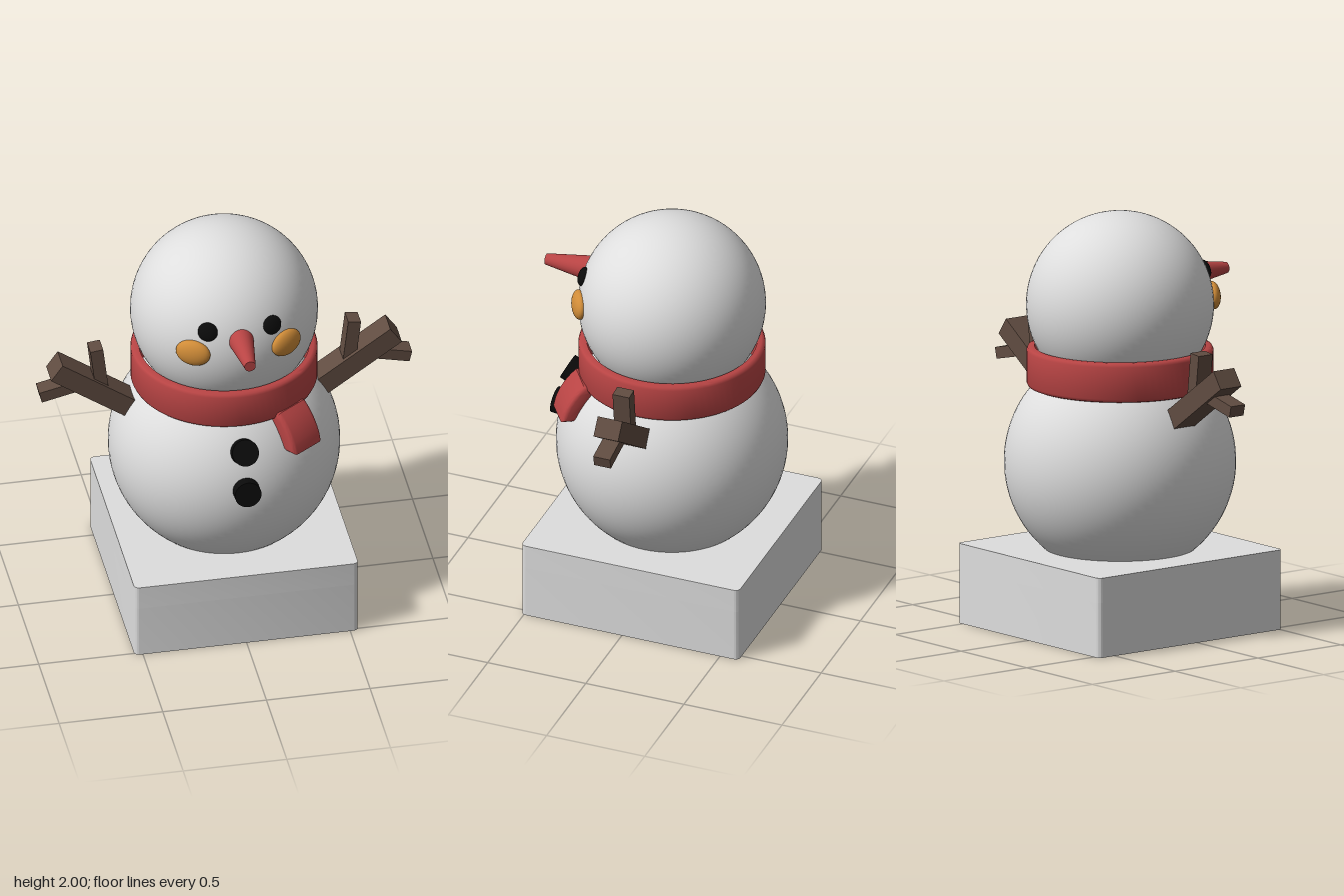
import * as THREE from 'three';
import { toCreasedNormals } from 'three/addons/utils/BufferGeometryUtils.js';

const flat = (name, color) => {
  const m = new THREE.MeshStandardMaterial({ color });
  m.name = name;
  return m;
};

// Rounded rectangle outline, centred on the origin
function roundedRect(target, hw, hh, r) {
  target.moveTo(-hw + r, -hh);
  target.lineTo(hw - r, -hh);
  target.absarc(hw - r, -hh + r, r, -Math.PI / 2, 0);
  target.lineTo(hw, hh - r);
  target.absarc(hw - r, hh - r, r, 0, Math.PI / 2);
  target.lineTo(-hw + r, hh);
  target.absarc(-hw + r, hh - r, r, Math.PI / 2, Math.PI);
  target.lineTo(-hw, -hh + r);
  target.absarc(-hw + r, -hh + r, r, Math.PI, Math.PI * 1.5);
  return target;
}

export function createModel() {
  const snow = flat('snow', 0xdedede);
  const red = flat('red', 0xb84444);
  const wood = flat('wood', 0x604c41);
  const orange = flat('orange', 0xd08c38);
  const coal = flat('coal', 0x0b0b0b);

  const model = new THREE.Group();
  model.name = 'snowman';
  const axisZ = -0.04;
  const add = (name, geometry, material, x = 0, y = 0, z = axisZ, parent = model) => {
    const mesh = new THREE.Mesh(geometry, material);
    mesh.name = name;
    mesh.position.set(x, y, z);
    parent.add(mesh);
    return mesh;
  };

  // Base: hollow underneath, with softly rounded upright corners
  const baseHeight = 0.385, ceiling = 0.265;
  const layer = (shape, depth) => {
    const g = new THREE.ExtrudeGeometry(shape, { depth, bevelEnabled: false, curveSegments: 6 });
    return toCreasedNormals(g.rotateX(-Math.PI / 2), 0.6);
  };
  const rim = roundedRect(new THREE.Shape(), 0.54, 0.555, 0.025);
  rim.holes.push(roundedRect(new THREE.Path(), 0.475, 0.49, 0.005));
  add('baseWalls', layer(rim, ceiling), snow);
  add('baseTop', layer(roundedRect(new THREE.Shape(), 0.54, 0.555, 0.025), baseHeight - ceiling), snow, 0, ceiling);

  // Body and head
  const body = { y: 0.8, r: 0.55 }, head = { y: 1.555, r: 0.445 };
  add('body', new THREE.SphereGeometry(body.r, 72, 48, 0, Math.PI * 2, 0, Math.PI * 0.8), snow, 0, body.y);
  add('head', new THREE.SphereGeometry(head.r, 72, 48), snow, 0, head.y);

  // Places a part on a ball, its +z pointing outwards
  const onBall = (name, geometry, material, ball, yaw, pitch, lift = 0) => {
    const d = new THREE.Vector3(
      Math.sin(yaw) * Math.cos(pitch), Math.sin(pitch), Math.cos(yaw) * Math.cos(pitch));
    const p = d.clone().multiplyScalar(ball.r + lift);
    const mesh = add(name, geometry, material, p.x, ball.y + p.y, axisZ + p.z);
    mesh.lookAt(mesh.position.clone().add(d));
    return mesh;
  };

  // Face
  for (const [side, s] of [['left', 1], ['right', -1]]) {
    onBall(side + 'Eye', new THREE.SphereGeometry(1, 28, 18).scale(0.048, 0.046, 0.024),
      coal, head, s * 0.378, 0.333);
    onBall(side + 'Cheek', new THREE.SphereGeometry(1, 32, 20).scale(0.086, 0.066, 0.036),
      orange, head, s * 0.53, 0.068);
  }
  add('nose', new THREE.CylinderGeometry(0.027, 0.062, 0.23, 32).rotateX(Math.PI / 2),
    red, 0, 1.65, 0.485);

  // Buttons
  const button = new THREE.CylinderGeometry(0.064, 0.064, 0.1, 32).rotateX(Math.PI / 2);
  onBall('upperButton', button, coal, body, 0, 0.48);
  onBall('lowerButton', button, coal, body, 0, 0.13);

  // Scarf band
  const band = [
    [0.405, 1.165], [0.425, 1.165], [0.437, 1.17], [0.443, 1.183], [0.443, 1.337],
    [0.437, 1.35], [0.425, 1.355], [0.405, 1.355], [0.405, 1.165],
  ].map(([r, y]) => new THREE.Vector2(r, y));
  add('scarfBand', toCreasedNormals(new THREE.LatheGeometry(band, 80), 0.8), red);

  // Scarf tail, curving out over the body; profile is radius against height
  const tail = new THREE.Shape();
  tail.moveTo(0.40, 1.18);
  tail.quadraticCurveTo(0.455, 1.11, 0.49, 1.03);
  tail.lineTo(0.535, 1.03);
  tail.quadraticCurveTo(0.51, 1.12, 0.44, 1.18);
  const tailGeometry = new THREE.ExtrudeGeometry(tail, {
    depth: 0.145, bevelThickness: 0.022, bevelSize: 0.02, bevelSegments: 4, curveSegments: 10,
  }).translate(0, 0, -0.0725);
  add('scarfTail', toCreasedNormals(tailGeometry, 0.7), red)
    .rotation.y = THREE.MathUtils.degToRad(34.7 - 90);

  // Stick between two points in the front plane
  const stick = (parent, name, s, [x1, y1], [x2, y2], thick, deep) => {
    const g = new THREE.BoxGeometry(Math.hypot(x2 - x1, y2 - y1), thick, deep);
    add(name, g, wood, s * (x1 + x2) / 2, (y1 + y2) / 2, axisZ, parent)
      .rotation.z = s * Math.atan2(y2 - y1, x2 - x1);
  };
  for (const [side, s] of [['left', 1], ['right', -1]]) {
    const arm = new THREE.Group();
    arm.name = side + 'Arm';
    model.add(arm);
    stick(arm, 'branch', s, [0.42, 1.047], [0.818, 1.325], 0.097, 0.125);
    stick(arm, 'upperTwig', s, [0.593, 1.17], [0.622, 1.415], 0.062, 0.085);
    stick(arm, 'lowerTwig', s, [0.66, 1.235], [0.893, 1.181], 0.056, 0.085);
  }

  return model;
}
